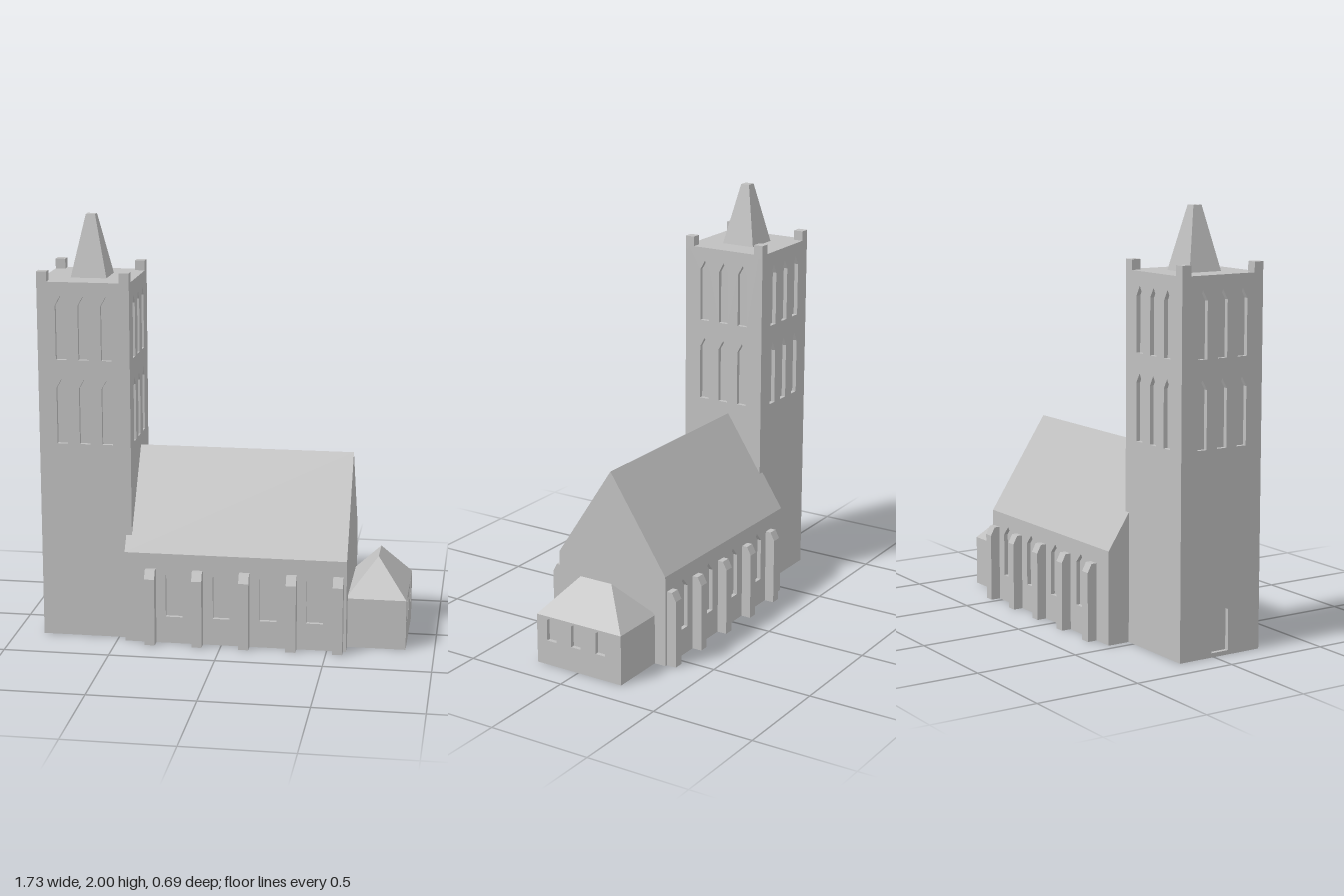
import * as THREE from 'three';

const stone = new THREE.MeshStandardMaterial({ color: 0xc0c0c0 });
stone.name = 'stone';
const RECESS = 0.02; // depth of the window niches

function add(parent, name, geometry, x = 0, y = 0, z = 0) {
  const mesh = new THREE.Mesh(geometry, stone);
  mesh.name = name;
  mesh.position.set(x, y, z);
  parent.add(mesh);
  return mesh;
}

// Box given by its limits on each axis
function block(parent, name, [x0, x1], [y0, y1], [z0, z1]) {
  return add(parent, name, new THREE.BoxGeometry(x1 - x0, y1 - y0, z1 - z0),
    (x0 + x1) / 2, (y0 + y1) / 2, (z0 + z1) / 2);
}

function polygon(points) {
  return new THREE.Shape(points.map(([x, y]) => new THREE.Vector2(x, y)));
}

// Pointed window outline
function lancet(cx, width, bottom, shoulder, top) {
  const h = width / 2;
  return polygon([[cx - h, bottom], [cx - h, shoulder], [cx, top], [cx + h, shoulder], [cx + h, bottom]]);
}

// Wall skin with window openings; its outer face passes through (x, z) and faces the given angle
function wall(parent, name, width, height, openings, x, z, angle) {
  const h = width / 2;
  const shape = polygon([[-h, 0], [h, 0], [h, height], [-h, height]]);
  shape.holes.push(...openings);
  const geometry = new THREE.ExtrudeGeometry(shape, { depth: RECESS, bevelEnabled: false });
  geometry.translate(0, 0, -RECESS);
  add(parent, name, geometry, x, 0, z).rotation.y = angle;
}

function buildTower() {
  const tower = new THREE.Group();
  tower.name = 'tower';
  const cx = -0.65, cz = 0.032, half = 0.217, height = 1.71, inner = half - RECESS;
  block(tower, 'towerCore', [cx - inner, cx + inner], [0, height], [cz - inner, cz + inner]);

  // Two rows of three windows on every side, a door on the outer end
  for (let i = 0; i < 4; i++) {
    const angle = i * Math.PI / 2;
    const openings = [];
    for (const x of [-0.107, 0, 0.107]) {
      openings.push(lancet(x, 0.05, 0.945, 1.21, 1.255), lancet(x, 0.05, 1.345, 1.6, 1.645));
    }
    if (i === 3) openings.push(lancet(0, 0.09, 0.02, 0.21, 0.28));
    wall(tower, 'towerWall', 2 * (i % 2 ? inner : half), height, openings,
      cx + Math.sin(angle) * half, cz + Math.cos(angle) * half, angle);
  }

  // Corner pinnacles
  const p = 0.047;
  for (const sx of [-1, 1]) for (const sz of [-1, 1]) {
    add(tower, 'pinnacle', new THREE.BoxGeometry(p, 0.065, p),
      cx + sx * (half - p / 2), height + 0.0145, cz + sz * (half - p / 2));
  }

  // Truncated square spire
  const spire = new THREE.CylinderGeometry(0.022 * Math.SQRT2, 0.085 * Math.SQRT2, 0.29, 4, 1).toNonIndexed();
  spire.rotateY(Math.PI / 4);
  spire.computeVertexNormals();
  add(tower, 'spire', spire, cx, height + 0.145, cz);
  return tower;
}

function buildNave() {
  const nave = new THREE.Group();
  nave.name = 'nave';
  const x0 = -0.46, x1 = 0.59, half = 0.295, inner = half - RECESS, skin = 0.4;

  // Gabled body, set back below the eaves for the window walls
  const gable = polygon([[-inner, 0], [inner, 0], [inner, skin], [half, skin], [half, 0.44],
    [0, 0.89], [-half, 0.44], [-half, skin], [-inner, skin]]);
  const body = new THREE.ExtrudeGeometry(gable, { depth: x1 - x0, bevelEnabled: false });
  body.rotateY(Math.PI / 2);
  add(nave, 'naveBody', body, x0);

  // Buttress cross-section with a sloping cap
  const section = polygon([[0.28, 0], [0.343, 0], [0.343, 0.325], [0.322, 0.365], [0.28, 0.365]]);
  const mid = (x0 + x1) / 2;
  for (const side of [1, -1]) {
    const angle = side > 0 ? 0 : Math.PI;
    const openings = [-0.225, 0, 0.222, 0.442].map(
      x => lancet(side * (x - mid), 0.08, 0.13, 0.335, 0.38));
    wall(nave, 'naveWall', x1 - x0, skin, openings, mid, side * half, angle);
    for (const x of [-0.335, -0.111, 0.111, 0.334, 0.553]) {
      const buttress = new THREE.ExtrudeGeometry(section, { depth: 0.048, bevelEnabled: false });
      buttress.translate(0, 0, -0.024);
      buttress.rotateY(-side * Math.PI / 2);
      add(nave, 'buttress', buttress, x);
    }
  }
  return nave;
}

function buildChancel() {
  const chancel = new THREE.Group();
  chancel.name = 'chancel';
  const x0 = 0.58, x1 = 0.865, z0 = -0.237, z1 = 0.227, eave = 0.24;
  block(chancel, 'chancelCore', [x0, x1 - RECESS], [0, eave], [z0, z1]);
  const openings = [-0.15, -0.015, 0.12].map(x => lancet(x, 0.052, 0.12, 0.222, 0.238));
  wall(chancel, 'chancelWall', z1 - z0, eave, openings, x1, (z0 + z1) / 2, Math.PI / 2);

  // Hipped roof with a short ridge across the building
  const a = [x0, eave, z1], b = [x1, eave, z1], c = [x1, eave, z0], d = [x0, eave, z0];
  const r = [0.722, 0.408, 0.08], s = [0.722, 0.408, -0.09];
  const faces = [a, b, r, b, c, s, b, s, r, c, d, s, d, a, r, d, r, s];
  const roof = new THREE.BufferGeometry();
  roof.setAttribute('position', new THREE.Float32BufferAttribute(faces.flat(), 3));
  roof.computeVertexNormals();
  add(chancel, 'chancelRoof', roof);
  return chancel;
}

export function createModel() {
  const church = new THREE.Group();
  church.name = 'church';
  church.add(buildTower(), buildNave(), buildChancel());
  return church;
}
